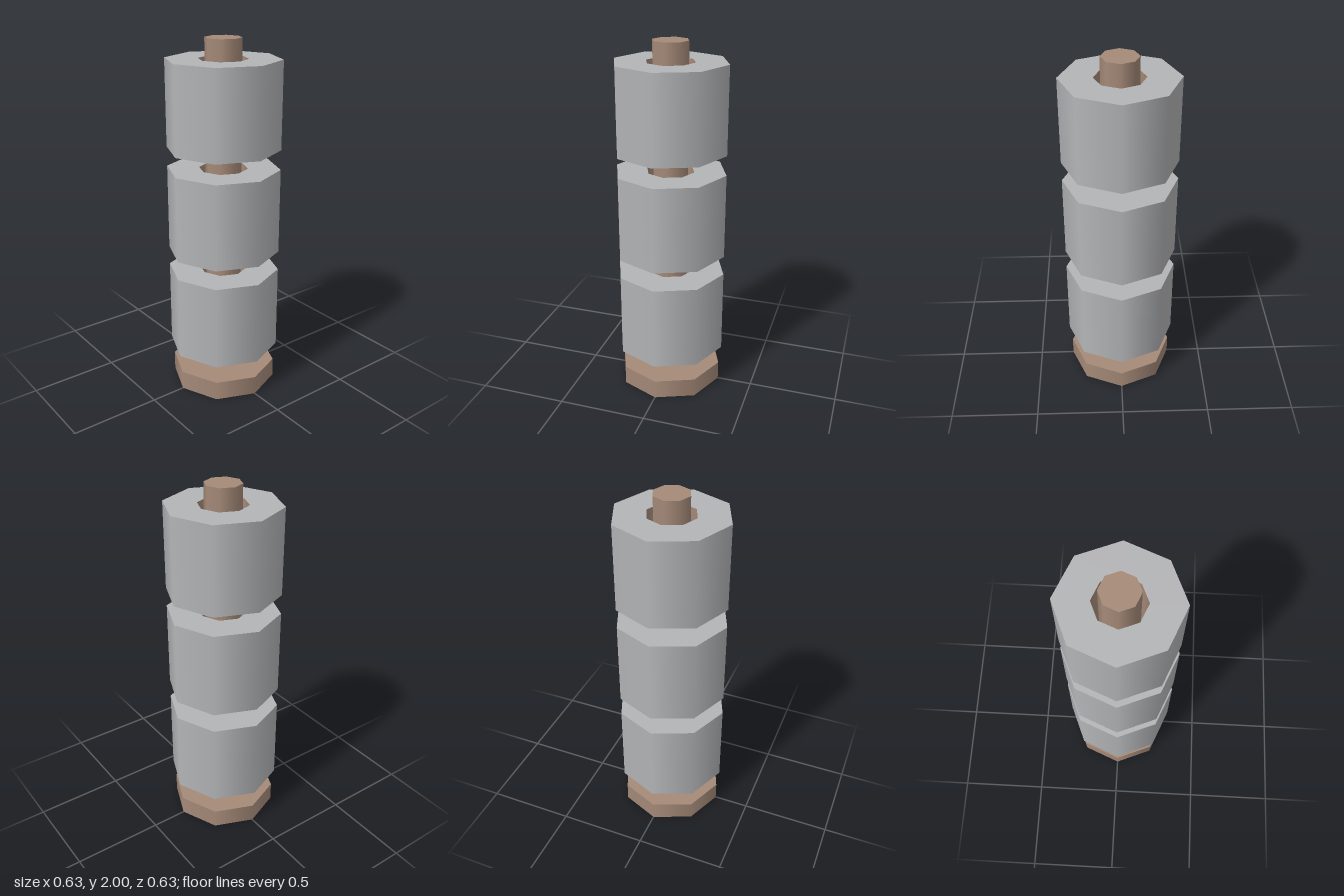
import * as THREE from 'three';

const SIDES = 8;

export function createModel() {
  const wood = new THREE.MeshStandardMaterial({ color: 0xa58a78 });
  wood.name = 'brown';
  const stone = new THREE.MeshStandardMaterial({ color: 0xb4b5b7 });
  stone.name = 'grey';

  const model = new THREE.Group();
  model.name = 'stackedPole';

  const add = (parent, name, geometry, material, y = 0) => {
    const mesh = new THREE.Mesh(geometry, material);
    mesh.name = name;
    mesh.position.y = y;
    parent.add(mesh);
  };
  // One band of a turned profile; separate bands keep the rims sharp
  const band = (r0, y0, r1, y1) =>
    new THREE.LatheGeometry([new THREE.Vector2(r0, y0), new THREE.Vector2(r1, y1)], SIDES);

  // Base plate and the rod standing on it
  add(model, 'base', new THREE.CylinderGeometry(0.3, 0.3, 0.11, SIDES), wood, 0.055);
  add(model, 'rod', new THREE.CylinderGeometry(0.1, 0.1, 1.89, SIDES), wood, 1.055);

  // Three hollow drums threaded on the rod
  const outer = 0.315, bore = 0.135, height = 0.483, floor = 0.01;
  for (let i = 0; i < 3; i++) {
    const drum = new THREE.Group();
    drum.name = `drum${i + 1}`;
    drum.position.y = 0.222 + i * 0.593;
    add(drum, 'drumSide', band(outer, 0, outer, height), stone);
    add(drum, 'drumTop', band(outer, height, bore, height), stone);
    add(drum, 'drumBottom', band(0, 0, outer, 0), stone);
    add(drum, 'boreWall', band(bore, height, bore, floor), wood);
    add(drum, 'boreFloor', band(bore, floor, 0, floor), stone);
    model.add(drum);
  }
  return model;
}
